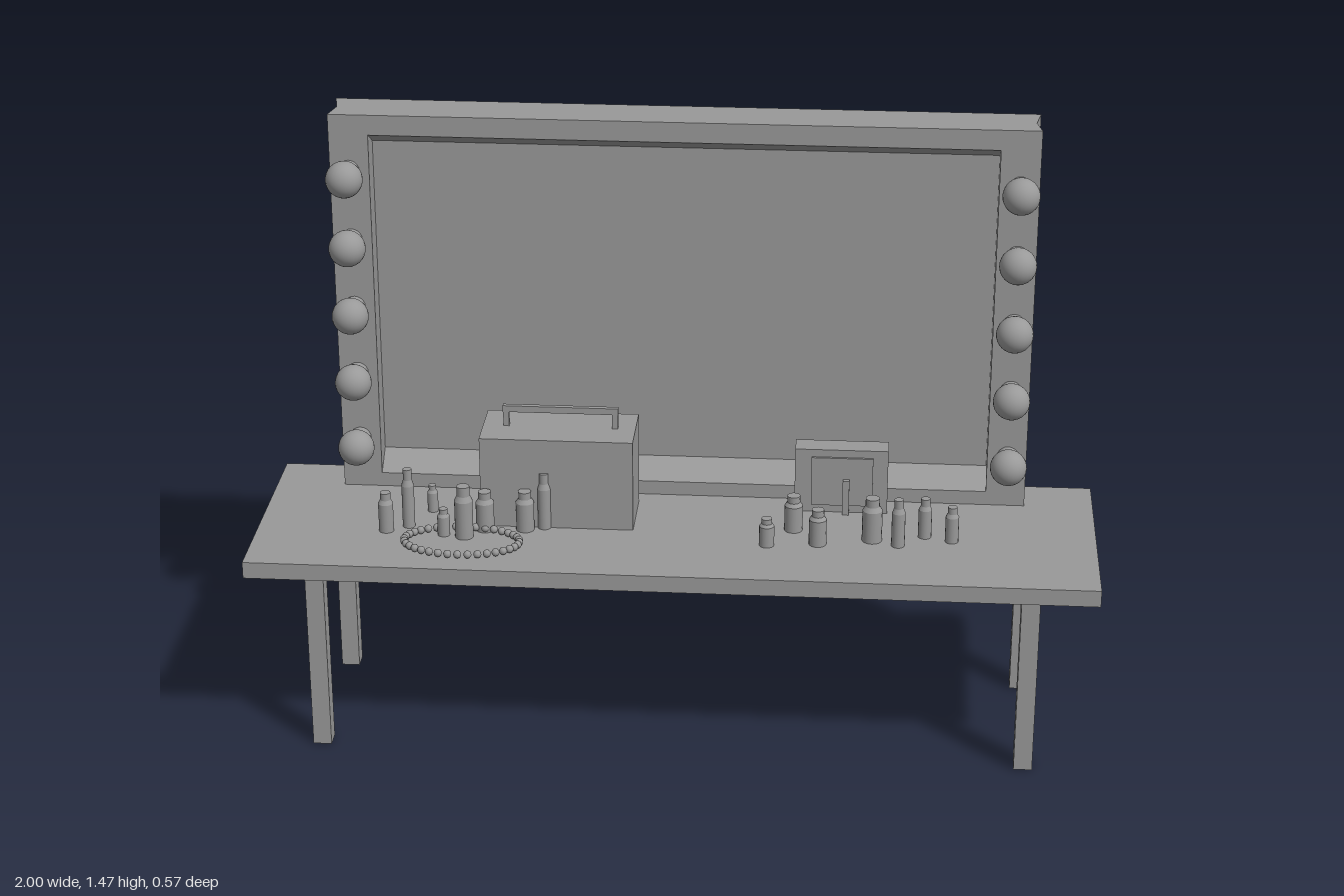
import * as THREE from 'three';

export function createModel() {
  const model = new THREE.Group();
  const grey = new THREE.MeshStandardMaterial({ color: 0x999999 });
  grey.name = 'plain grey';

  const add = (name, geometry, x = 0, y = 0, z = 0, parent = model) => {
    const mesh = new THREE.Mesh(geometry, grey);
    mesh.name = name;
    mesh.position.set(x, y, z);
    parent.add(mesh);
    return mesh;
  };
  // Box given by its extents on each axis
  const box = (name, x0, x1, y0, y1, z0, z1, parent) =>
    add(name, new THREE.BoxGeometry(x1 - x0, y1 - y0, z1 - z0),
      (x0 + x1) / 2, (y0 + y1) / 2, (z0 + z1) / 2, parent);
  const group = (name) => {
    const g = new THREE.Group();
    g.name = name;
    model.add(g);
    return g;
  };

  // Table
  const table = group('table');
  const TOP = 0.51;
  box('tableTop', -1, 1, 0.469, TOP, -0.273, 0.285, table);
  for (const x of [-0.843, 0.843]) {
    for (const z of [0.209, -0.192]) {
      box('tableLeg', x - 0.022, x + 0.022, 0, 0.469, z - 0.022, z + 0.022, table);
    }
  }
  box('modestyPanel', -0.822, 0.822, 0.355, 0.469, -0.169, -0.126, table);

  // Mirror frame: front ring with a splayed opening, slightly waisted at mid depth
  const mirror = group('mirror');
  const W = 0.834, WAIST = 0.822, Y0 = 0.5, Y1 = 1.466;
  const rect = (path, w, y0, y1) =>
    path.moveTo(-w, y0).lineTo(w, y0).lineTo(w, y1).lineTo(-w, y1).closePath();
  const outline = rect(new THREE.Shape(), W, Y0, Y1);
  outline.holes.push(rect(new THREE.Path(), 0.74, 0.545, 1.417));
  const ring = new THREE.ExtrudeGeometry(outline, { depth: 0.058, bevelEnabled: false });
  const rp = ring.attributes.position;
  for (let i = 0; i < rp.count; i++) {
    if (rp.getZ(i) > 0.01) continue;
    if (Math.abs(rp.getX(i)) < 0.8) rp.setY(i, rp.getY(i) < 1 ? 0.588 : 1.385);
    else rp.setX(i, Math.sign(rp.getX(i)) * WAIST);
  }
  ring.computeVertexNormals();
  add('mirrorFrame', ring, 0, 0, -0.219, mirror);

  // Back half, whose front face is the mirror glass
  const panel = new THREE.BoxGeometry(2 * W, Y1 - Y0, 0.066);
  const pp = panel.attributes.position;
  for (let i = 0; i < pp.count; i++) {
    if (pp.getZ(i) > 0) pp.setX(i, Math.sign(pp.getX(i)) * WAIST);
  }
  const flatPanel = panel.toNonIndexed();
  flatPanel.computeVertexNormals();
  add('mirrorPanel', flatPanel, 0, (Y0 + Y1) / 2, -0.252, mirror);

  // Bulbs and sockets down both sides
  const bulbGeometry = new THREE.SphereGeometry(0.044, 24, 16);
  const socketGeometry = new THREE.CylinderGeometry(0.026, 0.026, 0.05, 20).rotateX(Math.PI / 2);
  for (const x of [-0.789, 0.789]) {
    for (let i = 0; i < 5; i++) {
      const y = 0.64 + i * 0.172;
      add('bulb', bulbGeometry, x, y, -0.097, mirror);
      add('bulbSocket', socketGeometry, x, y, -0.138, mirror);
    }
  }

  // Make-up case with a carrying handle
  const makeupCase = group('makeupCase');
  box('caseBody', -0.468, -0.102, TOP, 0.738, -0.126, 0.045, makeupCase);
  box('handleBar', -0.42, -0.143, 0.774, 0.79, -0.047, -0.035, makeupCase);
  for (const x of [-0.412, -0.151]) {
    box('handlePost', x - 0.007, x + 0.007, 0.738, 0.776, -0.047, -0.035, makeupCase);
  }

  // Small box with a raised front panel and a catch
  const trinketBox = group('trinketBox');
  box('trinketBody', 0.278, 0.502, TOP, 0.674, -0.15, -0.093, trinketBox);
  box('trinketPanel', 0.318, 0.466, 0.53, 0.655, -0.093, -0.087, trinketBox);
  box('trinketCatch', 0.394, 0.41, TOP, 0.6, -0.087, -0.076, trinketBox);

  // Bottles: x, z, top height, radius
  const bottles = [
    [-0.69, 0.088, 0.61, 0.018], [-0.64, 0.06, 0.66, 0.015], [-0.595, -0.03, 0.578, 0.013],
    [-0.55, 0.1, 0.578, 0.015], [-0.5, 0.107, 0.642, 0.022], [-0.455, 0.065, 0.61, 0.022],
    [-0.36, 0.057, 0.61, 0.022], [-0.315, 0.043, 0.652, 0.016],
    [0.22, 0.1, 0.58, 0.018], [0.28, 0.012, 0.6, 0.022], [0.34, 0.085, 0.6, 0.021],
    [0.468, 0.055, 0.62, 0.024], [0.53, 0.08, 0.63, 0.016], [0.593, 0.027, 0.61, 0.016],
    [0.657, 0.048, 0.6, 0.016],
  ];
  for (const [x, z, top, r] of bottles) {
    const bottle = group('bottle');
    bottle.position.set(x, TOP, z);
    const h = top - TOP, body = h * 0.72, shoulder = h * 0.1, cap = h * 0.18;
    const tube = (name, r1, r0, height, y) =>
      add(name, new THREE.CylinderGeometry(r1, r0, height, 16), 0, y + height / 2, 0, bottle);
    tube('bottleBody', r, r, body, 0);
    tube('bottleShoulder', r * 0.7, r, shoulder, body);
    tube('bottleCap', r * 0.7, r * 0.7, cap, body + shoulder);
  }

  // Oval string of beads
  const necklace = group('beadNecklace');
  const bead = new THREE.SphereGeometry(0.0095, 12, 8);
  for (let i = 0; i < 36; i++) {
    const a = (i / 36) * Math.PI * 2;
    add('bead', bead, -0.5 + 0.137 * Math.cos(a), 0.521, 0.152 + 0.075 * Math.sin(a), necklace);
  }

  return model;
}
